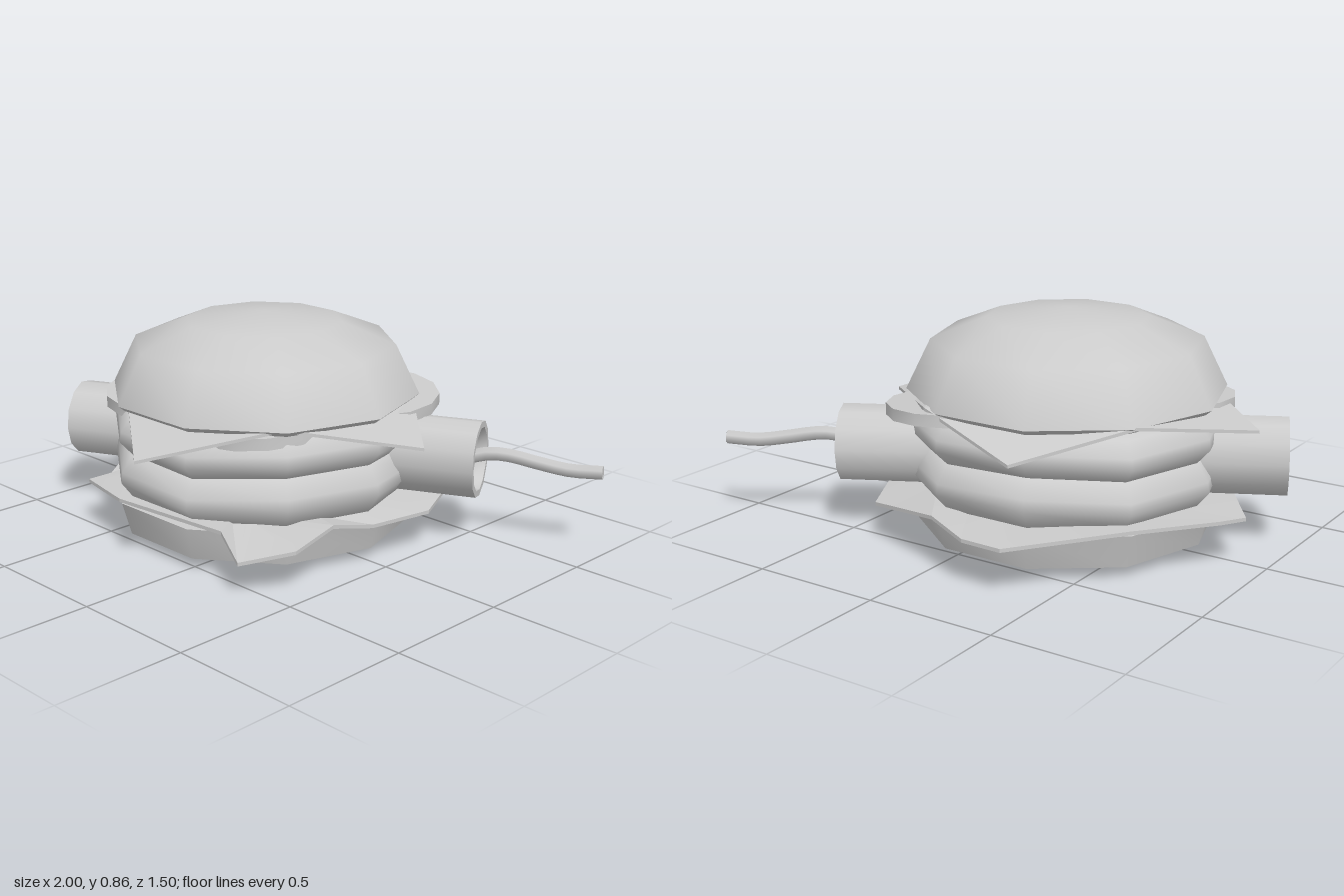
import * as THREE from 'three';
import { toCreasedNormals } from 'three/addons/utils/BufferGeometryUtils.js';

const CX = -0.165, CZ = -0.02; // axis of the stack
const material = new THREE.MeshStandardMaterial({ color: 0xcccccc });
const thin = new THREE.MeshStandardMaterial({ color: 0xcccccc, side: THREE.DoubleSide });

export function createModel() {
  const model = new THREE.Group();

  function add(name, geometry, mat = material) {
    const mesh = new THREE.Mesh(geometry, mat);
    mesh.name = name;
    model.add(mesh);
    return mesh;
  }

  // Ten-sided turned layer from [radius, y] pairs, listed bottom to top
  function turned(profile, sides = 10, crease = 0.8) {
    const points = profile.map(([r, y]) => new THREE.Vector2(r, y));
    const g = new THREE.LatheGeometry(points, sides, Math.PI / 2);
    return toCreasedNormals(g, crease);
  }

  // Thin folded sheet: centre, inner ring and outer ring, with an underside and a rim
  function sheet(centre, inner, outer, t) {
    const n = outer.length, pos = [], index = [];
    for (const dy of [0, -t])
      for (const [x, y, z] of [centre, ...inner, ...outer]) pos.push(x, y + dy, z);
    const low = 2 * n + 1;
    for (let i = 0; i < n; i++) {
      const j = (i + 1) % n;
      const a = 1 + i, b = 1 + j, c = a + n, d = b + n;
      for (const [p, q, r] of [[0, a, b], [a, c, d], [a, d, b]])
        index.push(p, q, r, low + p, low + r, low + q);
      index.push(c, low + c, low + d, c, low + d, d);
    }
    const g = new THREE.BufferGeometry();
    g.setAttribute('position', new THREE.Float32BufferAttribute(pos, 3));
    g.setIndex(index);
    return toCreasedNormals(g, 0.15);
  }

  // Buns
  const bottomBun = add('bottomBun', turned([[0, 0], [0.3, 0], [0.57, 0.042], [0.605, 0.17], [0, 0.175]]));
  const topBun = add('topBun', turned([[0, 0.535], [0.58, 0.535], [0.605, 0.555], [0.512, 0.745], [0.305, 0.828], [0, 0.862]], 10, 0.9));
  for (const bun of [bottomBun, topBun]) bun.position.set(CX, 0, CZ);

  // Two bulging patties with a gently wavy seam
  [['lowerPatty', 0.185, 0.36], ['upperPatty', 0.36, 0.51]].forEach(([name, y0, y1]) => {
    const mid = (y0 + y1) / 2;
    const g = turned([[0, y0], [0.555, y0], [0.605, mid - 0.02], [0.6, mid + 0.02], [0.56, y1], [0, y1]], 10, 1.1);
    const p = g.attributes.position;
    for (let i = 0; i < p.count; i++) {
      const wave = 0.013 * Math.sin(3 * Math.atan2(p.getZ(i), p.getX(i)) + 0.6);
      const r = Math.hypot(p.getX(i), p.getZ(i));
      if (r > 0.1 && p.getY(i) > 0.22) p.setY(i, p.getY(i) + wave);
    }
    add(name, toCreasedNormals(g, 1.1)).position.set(CX, 0, CZ);
  });

  // Tomato slices under the cheese
  [[0.05, 0.2, 0.04], [0.1, -0.33, -0.05], [-0.46, 0.18, -0.04]].forEach(([x, z, tilt], i) => {
    const slice = add('tomatoSlice' + (i + 1), toCreasedNormals(new THREE.CylinderGeometry(0.28, 0.28, 0.045, 14), 0.8));
    slice.position.set(x, 0.51, z);
    slice.rotation.set(0.05, 0, tilt);
  });

  // Square cheese slice: corners alternate with edge midpoints, corners droop
  const cheese = [
    [-0.03, 0.465, 0.745], [0.29, 0.56, 0.33], [0.585, 0.46, -0.1], [0.1, 0.56, -0.56],
    [-0.36, 0.465, -0.7], [-0.66, 0.56, -0.36], [-0.93, 0.495, 0.04], [-0.5, 0.56, 0.4],
  ];
  const folds = cheese.map((p, i) => {
    if (i % 2) return p;
    const a = cheese[(i + 7) % 8], b = cheese[i + 1];
    return p.map((_, k) => (a[k] + b[k]) / 2);
  });
  add('cheeseSlice', sheet([CX, 0.56, CZ], folds, cheese, 0.012), thin);

  // Ragged lettuce leaf, ordered from the front round to the left
  const leaf = [
    [-0.35, 0.195, 0.57], [0.18, 0.2, 0.53], [0.32, 0.135, 0.58], [0.45, 0.17, 0.42],
    [0.44, 0.21, 0.22], [0.46, 0.165, 0.03], [0.5, 0.16, -0.24], [0.345, 0.15, -0.55],
    [-0.02, 0.21, -0.68], [-0.2, 0.185, -0.75], [-0.365, 0.185, -0.755], [-0.67, 0.2, -0.4],
    [-0.87, 0.19, -0.12], [-0.92, 0.185, -0.02], [-0.75, 0.205, 0.2], [-0.64, 0.18, 0.38], [-0.63, 0.185, 0.5],
  ];
  const leafBase = leaf.map(([x, , z]) => {
    const s = 0.5 / Math.hypot(x - CX, z - CZ);
    return [CX + (x - CX) * s, 0.192, CZ + (z - CZ) * s];
  });
  add('lettuceLeaf', sheet([CX, 0.192, CZ], leafBase, leaf, 0.014), thin);

  // Stick pushed through the stack, with a recessed cap at each end
  const half = 0.838;
  const stick = add('stick', turned([
    [0, -half + 0.05], [0.115, -half + 0.04], [0.125, -half], [0.15, -half],
    [0.15, half], [0.125, half], [0.115, half - 0.04], [0, half - 0.05],
  ], 12, 0.7));
  stick.position.set(-0.185, 0.331, -0.0875);
  stick.quaternion.setFromUnitVectors(new THREE.Vector3(0, 1, 0), new THREE.Vector3(1.5, -0.008, -0.745).normalize());

  // Wavy fuse, closed at its tip
  const fusePath = new THREE.CatmullRomCurve3([
    [0.51, 0.325, -0.43], [0.59, 0.353, -0.47], [0.66, 0.355, -0.505],
    [0.77, 0.335, -0.56], [0.87, 0.32, -0.61], [0.982, 0.325, -0.663],
  ].map(p => new THREE.Vector3(...p)));
  add('fuse', new THREE.TubeGeometry(fusePath, 12, 0.027, 6));
  const tip = add('fuseTip', new THREE.CircleGeometry(0.027, 6), thin);
  tip.position.copy(fusePath.getPoint(1));
  tip.quaternion.setFromUnitVectors(new THREE.Vector3(0, 0, 1), fusePath.getTangent(1));

  return model;
}
